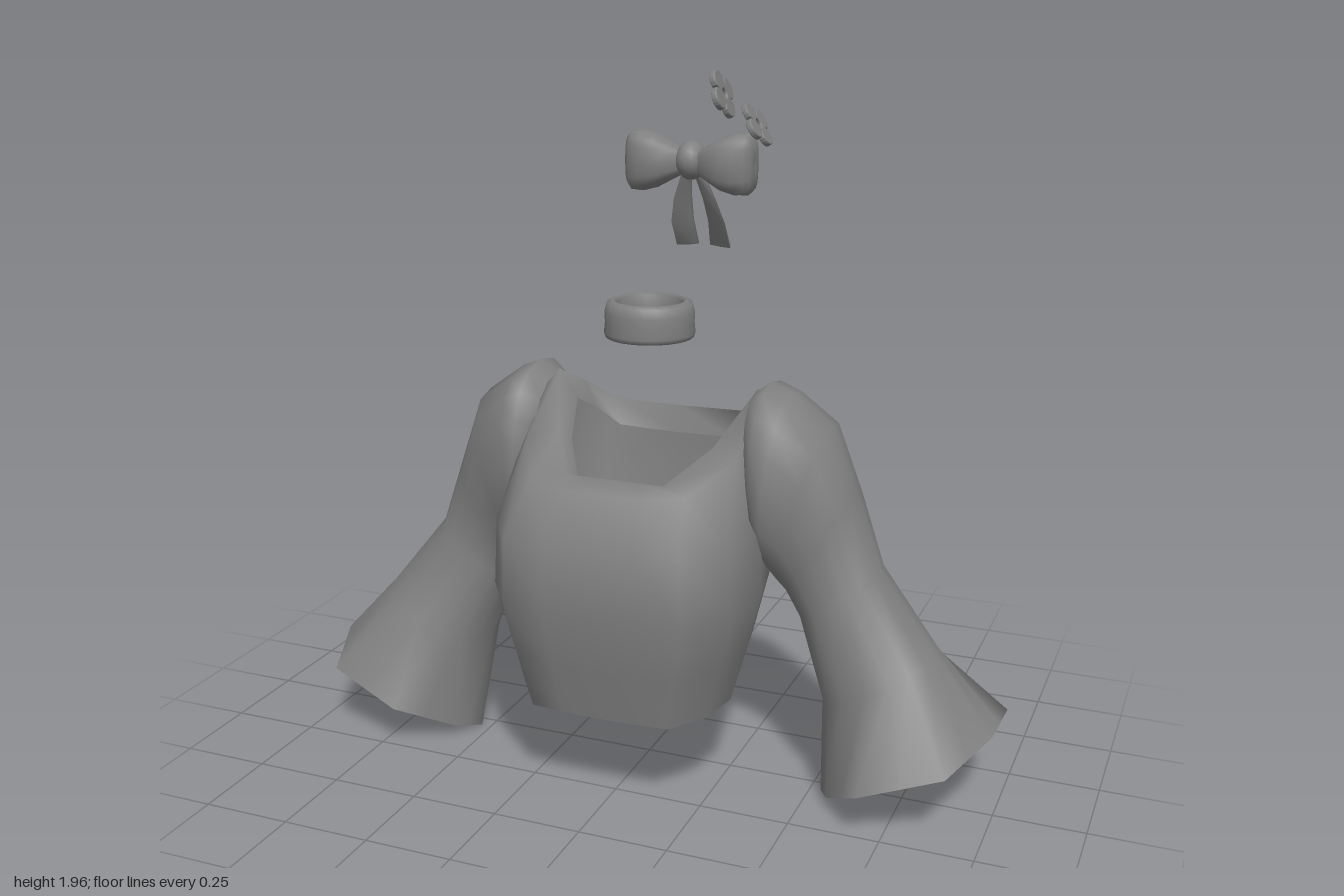
import * as THREE from 'three';

const material = new THREE.MeshStandardMaterial({ color: 0x808080, side: THREE.DoubleSide });

function add(group, name, geometry) {
  const mesh = new THREE.Mesh(geometry, material);
  mesh.name = name;
  group.add(mesh);
  return mesh;
}

// Skin through closed rings of [x, y, z] points; mirrored rings are reversed to keep faces outward
function loft(rings, mirror = false) {
  if (mirror) rings = rings.map(r => r.map(([x, y, z]) => [-x, y, z]).reverse());
  const n = rings[0].length, index = [];
  for (let i = 0; i < rings.length - 1; i++) {
    for (let j = 0; j < n; j++) {
      const a = i * n + j, b = i * n + (j + 1) % n;
      index.push(a, b, a + n, b, b + n, a + n);
    }
  }
  const g = new THREE.BufferGeometry();
  g.setAttribute('position', new THREE.Float32BufferAttribute(rings.flat(2), 3));
  g.setIndex(index);
  g.computeVertexNormals();
  return g;
}

// Complete a half ring (front centre to back centre over +x) with its mirror image
const fullRing = half => [...half, ...half.slice(1, -1).reverse().map(([x, y, z]) => [-x, y, z])];

// Rounded-square version of a sine or cosine
const soft = (v, power) => Math.sign(v) * Math.abs(v) ** power;

function bodice() {
  const outline = [[0, 1], [0.36, 0.99], [0.68, 0.95], [0.93, 0.52], [1, 0], [0.9, -0.6], [0.6, -0.94], [0, -1]];
  // height, half width, front z, back z
  const levels = [
    [0.27, 0.29, 0.37, -0.12], [0.42, 0.33, 0.40, -0.165],
    [0.58, 0.37, 0.43, -0.19], [0.76, 0.365, 0.425, -0.215],
  ];
  const rings = levels.map(([y, w, f, b]) =>
    fullRing(outline.map(([u, v]) => [u * w, y, (f + b) / 2 + v * (f - b) / 2])));
  // Yoke, neckline and turned-in neck lining
  rings.push(fullRing([[0, 0.89, 0.335], [0.11, 0.89, 0.335], [0.22, 0.90, 0.30], [0.3, 0.96, 0.155],
    [0.335, 1.1, -0.04], [0.32, 1.04, -0.18], [0.22, 0.92, -0.225], [0, 0.92, -0.225]]));
  rings.push(fullRing([[0, 0.905, 0.25], [0.07, 0.905, 0.25], [0.14, 0.905, 0.25], [0.225, 0.98, 0.11],
    [0.295, 1.11, -0.05], [0.27, 1.05, -0.17], [0.19, 0.995, -0.215], [0, 0.99, -0.22]]));
  rings.push(fullRing([[0, 0.885, 0.205], [0.065, 0.885, 0.205], [0.125, 0.885, 0.205], [0.2, 0.95, 0.08],
    [0.24, 1.03, -0.05], [0.23, 0.98, -0.15], [0.17, 0.92, -0.195], [0, 0.915, -0.2]]));
  return loft(rings);
}

function sleeve(mirror) {
  // outer x, y, inner x, y, front z, back z
  const sections = [
    [0.295, 1.105, 0.33, 0.68, 0.11, -0.18], [0.34, 1.14, 0.345, 0.66, 0.165, -0.22],
    [0.40, 1.115, 0.355, 0.63, 0.16, -0.225], [0.51, 1.035, 0.38, 0.59, 0.135, -0.215],
    [0.585, 0.84, 0.40, 0.56, 0.10, -0.2], [0.655, 0.64, 0.44, 0.49, 0.085, -0.18],
    [0.82, 0.43, 0.52, 0.28, 0.15, -0.19],
  ];
  const rings = sections.map(([ox, oy, ix, iy, f, b]) => Array.from({ length: 16 }, (_, k) => {
    const t = k * Math.PI / 8, u = (1 + soft(Math.cos(t), 0.9)) / 2;
    return [ix + (ox - ix) * u, iy + (oy - iy) * u, (f + b) / 2 + soft(Math.sin(t), 0.9) * (f - b) / 2];
  }));
  // Flared cuff corners joined by straight hem edges
  const cuff = [[0.99, 0.24, 0.02], [0.91, 0.2, 0.23], [0.69, 0.13, 0.28], [0.57, 0.03, 0.13],
    [0.53, 0, 0.04], [0.61, 0.01, -0.1], [0.69, 0.06, -0.24], [1, 0.25, -0.14]];
  rings.push(cuff.flatMap((p, k) => {
    const next = cuff[(k + 1) % cuff.length];
    return [p, p.map((c, i) => (c + next[i]) / 2)];
  }));
  return loft(rings.map(r => r.reverse()), mirror);
}

function bowLoop(mirror) {
  // x, half height, half depth
  const sections = [[0.01, 0.03, 0.02], [0.035, 0.04, 0.04], [0.065, 0.056, 0.063], [0.1, 0.075, 0.074],
    [0.14, 0.086, 0.072], [0.17, 0.085, 0.058], [0.185, 0.07, 0.04], [0.19, 0.035, 0.02], [0.185, 0.001, 0.001]];
  const rings = sections.map(([x, h, d]) => Array.from({ length: 16 }, (_, k) => {
    const t = k * Math.PI / 8;
    return [x, 1.675 + h * soft(Math.cos(t), 0.7), -0.31 + d * soft(Math.sin(t), 0.7)];
  }));
  return loft(rings, mirror);
}

function bowTail(mirror) {
  // centre x, y, z, half width, twist towards the front at the outer edge
  const sections = [[0.02, 1.64, -0.325, 0.015, 0], [0.04, 1.57, -0.35, 0.022, 0.01],
    [0.052, 1.5, -0.38, 0.028, 0.012], [0.05, 1.425, -0.42, 0.031, 0.004]];
  const rings = sections.map(([x, y, z, w, t]) => [[x - w, y, z + 0.006 - t], [x - w, y, z - 0.006 - t],
    [x + w, y - 0.005, z - 0.006 + t], [x + w, y - 0.005, z + 0.006 + t]]);
  rings.push(rings[3].map(() => [0.05, 1.42, -0.42]));
  return loft(rings, mirror);
}

function flower() {
  const points = [];
  for (let k = 0; k < 48; k++) {
    const t = k * Math.PI / 24, r = 0.027 + 0.033 * Math.abs(Math.cos(2 * t)) ** 0.6;
    points.push(new THREE.Vector2(r * Math.cos(t), r * Math.sin(t)));
  }
  const shape = new THREE.Shape(points);
  shape.holes.push(new THREE.Path().absarc(0, 0, 0.016, 0, Math.PI * 2, true));
  return new THREE.ExtrudeGeometry(shape, {
    depth: 0.008, bevelThickness: 0.004, bevelSize: 0.003, bevelSegments: 2, curveSegments: 10,
  }).translate(0, 0, -0.004).rotateZ(0.25).rotateY(Math.PI / 2);
}

export function createModel() {
  const model = new THREE.Group();
  model.name = 'blouseAndAccessories';

  add(model, 'bodice', bodice());
  add(model, 'leftSleeve', sleeve(false));
  add(model, 'rightSleeve', sleeve(true));

  // Neck band
  const band = [[0.088, 1.25], [0.1, 1.24], [0.12, 1.242], [0.125, 1.255], [0.122, 1.285], [0.123, 1.31],
    [0.116, 1.335], [0.1, 1.343], [0.088, 1.335], [0.084, 1.29], [0.088, 1.25]];
  add(model, 'choker', new THREE.LatheGeometry(band.map(p => new THREE.Vector2(...p)), 24));

  // Bow
  const bow = new THREE.Group();
  bow.name = 'bow';
  model.add(bow);
  for (const [side, mirror] of [['left', false], ['right', true]]) {
    add(bow, side + 'BowLoop', bowLoop(mirror));
    add(bow, side + 'BowTail', bowTail(mirror));
  }
  const knot = add(bow, 'bowKnot', new THREE.SphereGeometry(0.05, 16, 12));
  knot.position.set(0, 1.68, -0.31);
  knot.scale.set(0.9, 1.1, 1.1);

  // Hair flowers: position and lean
  [[0.247, 1.903, 0.13, 0.35], [0.285, 1.815, -0.03, 0.55]].forEach(([x, y, z, lean], i) => {
    const mesh = add(model, 'hairFlower' + (i + 1), flower());
    mesh.position.set(x, y, z);
    mesh.rotation.z = lean;
  });
  return model;
}
